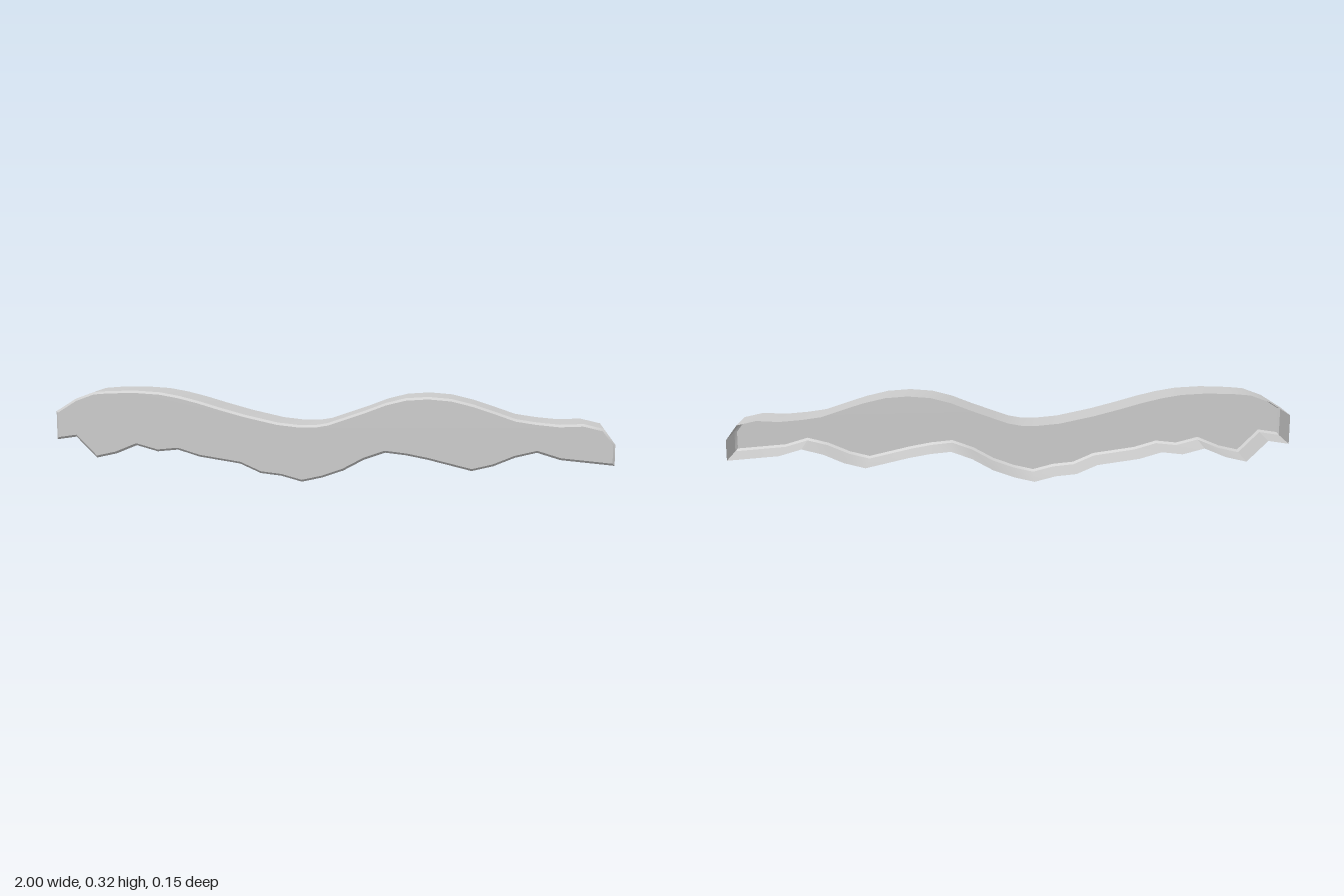
import * as THREE from 'three';
import { toCreasedNormals } from 'three/addons/utils/BufferGeometryUtils.js';

const HALF_DEPTH = 0.075, BEVEL = 0.008;

// Wavy upper edge, left to right
const upper = [
  [-1, 0.24], [-0.925, 0.287], [-0.857, 0.312], [-0.8, 0.317], [-0.7, 0.32], [-0.61, 0.315],
  [-0.54, 0.303], [-0.47, 0.286], [-0.39, 0.263], [-0.3, 0.239], [-0.18, 0.213], [-0.1, 0.205],
  [-0.045, 0.206], [0, 0.214], [0.06, 0.235], [0.136, 0.262], [0.205, 0.289], [0.275, 0.307],
  [0.355, 0.313], [0.435, 0.307], [0.515, 0.288], [0.595, 0.262], [0.66, 0.24], [0.73, 0.23],
  [0.81, 0.223], [0.89, 0.227], [0.96, 0.211], [1, 0.157],
];
// Jagged lower edge, left to right
const lower = [
  [-1, 0.136], [-0.927, 0.147], [-0.852, 0.071], [-0.777, 0.088], [-0.7, 0.12], [-0.622, 0.099],
  [-0.547, 0.107], [-0.467, 0.083], [-0.318, 0.061], [-0.243, 0.028], [-0.168, 0.02], [-0.093, 0],
  [-0.02, 0.017], [0.056, 0.044], [0.13, 0.085], [0.205, 0.112], [0.28, 0.104], [0.355, 0.09],
  [0.51, 0.053], [0.585, 0.072], [0.66, 0.104], [0.735, 0.123], [0.815, 0.099], [1, 0.083],
];

// Counter-clockwise outline moved inwards by d with mitred corners
function inset(points, d) {
  const n = points.length;
  const inward = (a, b) => new THREE.Vector2(a.y - b.y, b.x - a.x).normalize();
  return points.map((p, i) => {
    const n1 = inward(points[(i + n - 1) % n], p);
    const n2 = inward(p, points[(i + 1) % n]);
    const k = d / (1 + n1.dot(n2));
    return p.clone().addScaledVector(n1.add(n2), k);
  });
}

// Closed band between two outlines at two depths
function band(a, za, b, zb) {
  const n = a.length, pos = [], index = [];
  a.forEach((p) => pos.push(p.x, p.y, za));
  b.forEach((p) => pos.push(p.x, p.y, zb));
  for (let i = 0; i < n; i++) {
    const j = (i + 1) % n;
    index.push(i, j, n + j, i, n + j, n + i);
  }
  const g = new THREE.BufferGeometry();
  g.setAttribute('position', new THREE.Float32BufferAttribute(pos, 3));
  g.setIndex(index);
  return toCreasedNormals(g, 0.5);
}

export function createModel() {
  const group = new THREE.Group();
  group.name = 'wavyStrip';
  const material = new THREE.MeshStandardMaterial({ color: 0xcccccc, side: THREE.DoubleSide });
  const add = (name, geometry) => {
    const mesh = new THREE.Mesh(geometry, material);
    mesh.name = name;
    group.add(mesh);
    return mesh;
  };

  const outline = [...lower, ...[...upper].reverse()].map(([x, y]) => new THREE.Vector2(x, y));
  const face = inset(outline, BEVEL);
  const shoulder = HALF_DEPTH - BEVEL;

  // Side wall, left open at the back
  add('sideWall', band(outline, -HALF_DEPTH, outline, shoulder));
  // Narrow chamfer around the front
  add('frontBevel', band(outline, shoulder, face, HALF_DEPTH));
  // Flat front panel
  add('frontPanel', new THREE.ShapeGeometry(new THREE.Shape(face))).position.z = HALF_DEPTH;

  return group;
}
